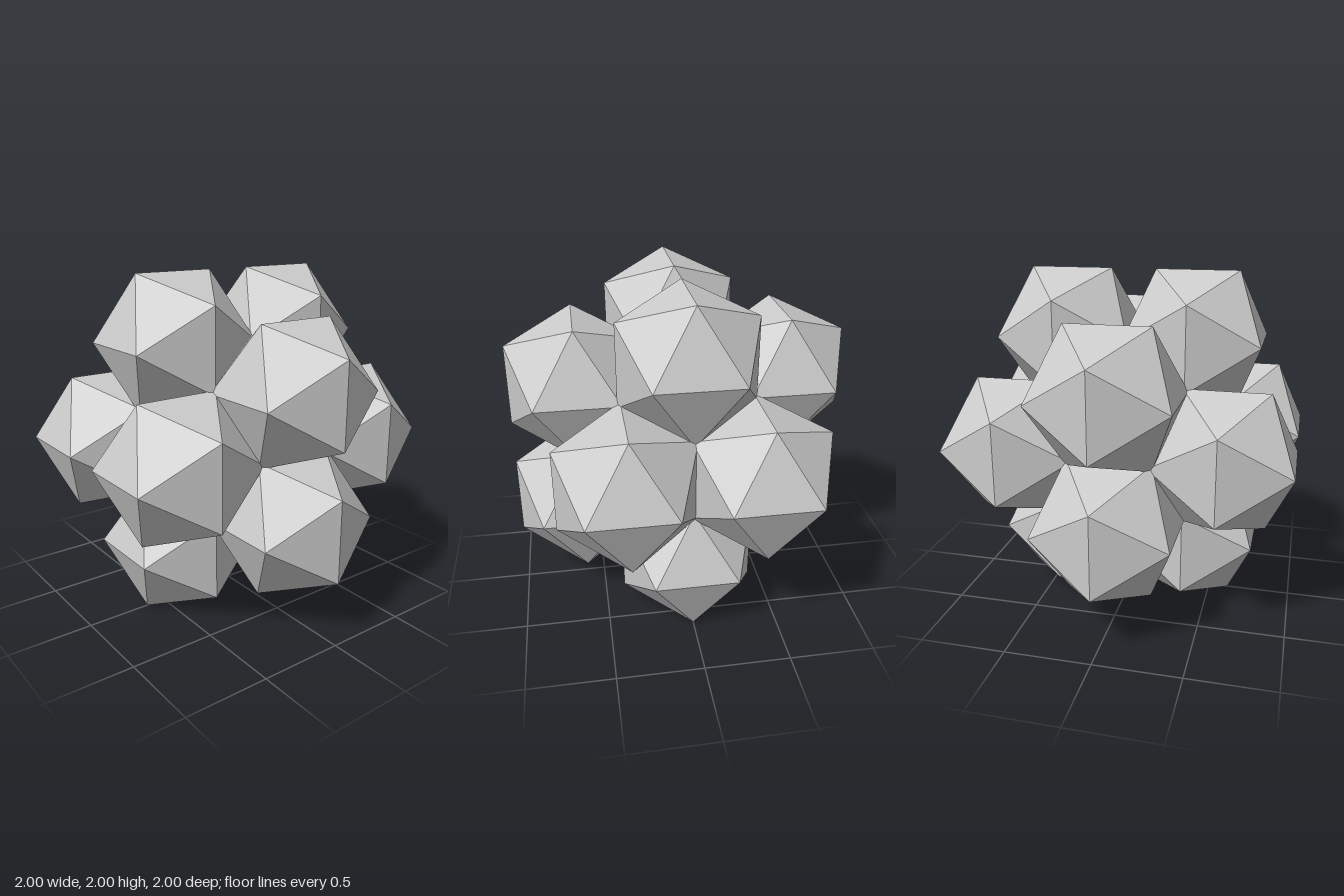
import * as THREE from 'three';

// Twelve icosahedra clustered on the corners of a larger icosahedron
export function createModel() {
  const group = new THREE.Group();
  group.name = 'icosahedronCluster';
  const material = new THREE.MeshStandardMaterial({ color: 0xcccccc, flatShading: true });

  const phi = (1 + Math.sqrt(5)) / 2;
  const reach = 0.393;          // half extent of one small solid
  const far = 1 - reach;        // long coordinate of its centre
  const near = far / phi;       // short coordinate of its centre
  const cell = new THREE.IcosahedronGeometry(reach * Math.hypot(1, 1 / phi), 0);

  const addCell = (x, y, z) => {
    const mesh = new THREE.Mesh(cell, material);
    mesh.name = 'icosahedron' + (group.children.length + 1);
    mesh.position.set(x, y + 1, z);
    group.add(mesh);
  };

  // Three mutually perpendicular golden rectangles of centres
  for (const i of [-1, 1]) {
    for (const j of [-1, 1]) {
      addCell(i * near, j * far, 0);
      addCell(0, i * near, j * far);
      addCell(j * far, 0, i * near);
    }
  }
  return group;
}
